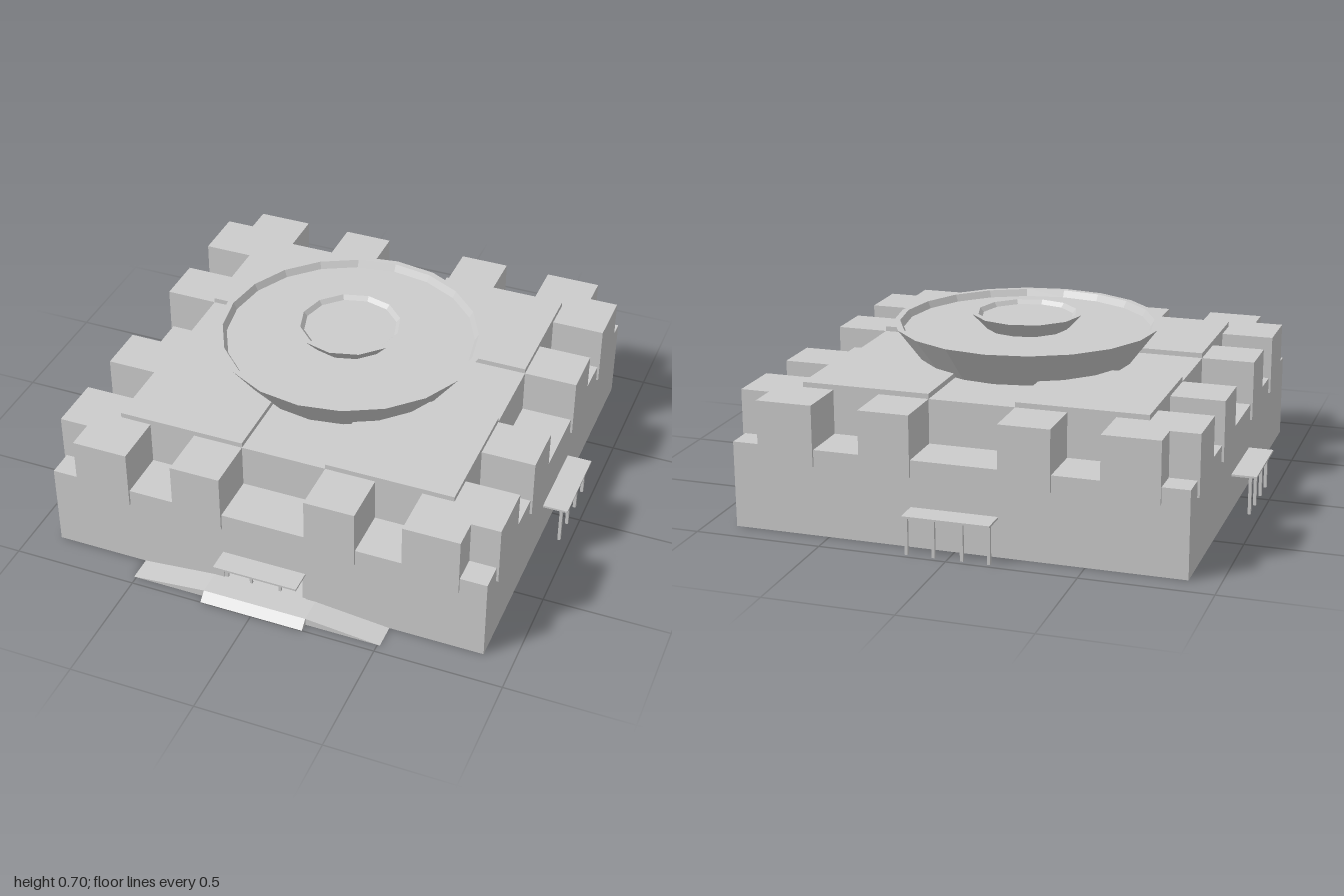
import * as THREE from 'three';

const mat = new THREE.MeshStandardMaterial({ color: 0xcccccc, flatShading: true, side: THREE.DoubleSide });
const H = 0.8825;   // half width of the square building
const CZ = -0.018;  // building centre in z; the entrance steps reach further forward

function add(parent, name, geometry) {
  const mesh = new THREE.Mesh(geometry, mat);
  mesh.name = name;
  parent.add(mesh);
  return mesh;
}

// Box given by its minimum and maximum corners
function box(parent, name, x0, x1, y0, y1, z0, z1) {
  const mesh = add(parent, name, new THREE.BoxGeometry(x1 - x0, y1 - y0, z1 - z0));
  mesh.position.set((x0 + x1) / 2, (y0 + y1) / 2, (z0 + z1) / 2);
  return mesh;
}

function lathe(parent, name, sides, profile) {
  const points = profile.map(([r, y]) => new THREE.Vector2(r, y));
  return add(parent, name, new THREE.LatheGeometry(points, sides));
}

// Prism with its profile in the xy plane, running along z
function prism(parent, name, profile, z0, z1) {
  const shape = new THREE.Shape(profile.map(([x, y]) => new THREE.Vector2(x, y)));
  const geometry = new THREE.ExtrudeGeometry(shape, { depth: z1 - z0, bevelEnabled: false });
  return add(parent, name, geometry.translate(0, 0, z0));
}

export function createModel() {
  const model = new THREE.Group();
  model.name = 'building';
  const core = new THREE.Group();
  core.name = 'core';
  core.position.z = CZ;
  model.add(core);

  // Hollow base: thick roof on thin walls, with a doorway in the front wall
  const T = 0.01, D = 0.17;
  box(core, 'roofDeck', -H, H, 0.25, 0.34, -H, H);
  box(core, 'backWall', -H, H, 0, 0.25, -H, -H + T);
  for (const s of [-1, 1]) {
    const side = box(core, 'sideWall', -T / 2, T / 2, 0, 0.25, -H, H);
    side.position.x = s * (H - T / 2);
    const front = box(core, 'frontWall', D, H, 0, 0.25, H - T, H);
    front.position.x *= s;
  }
  box(core, 'doorLintel', -D, D, 0.155, 0.25, H - T, H);

  // Raised centre with four roof slabs separated by cross channels
  box(core, 'upperBlock', -0.68, 0.68, 0.34, 0.515, -0.68, 0.68);
  for (const sx of [-1, 1]) {
    for (const sz of [-1, 1]) {
      const slab = box(core, 'roofSlab', 0.17, 0.68, 0.515, 0.535, 0.17, 0.68);
      slab.position.x *= sx;
      slab.position.z *= sz;
    }
  }

  // Parapet blocks, the same four on every side
  for (let i = 0; i < 4; i++) {
    const side = new THREE.Group();
    side.name = 'parapetSide';
    side.rotation.y = i * Math.PI / 2;
    core.add(side);
    for (const [a, b] of [[0.17, 0.37], [0.555, 0.777]]) {
      box(side, 'parapetBlock', a, b, 0.275, 0.515, 0.66, H + 0.009);
      box(side, 'parapetBlock', -b, -a, 0.275, 0.515, 0.66, H + 0.009);
    }
  }

  // Large dish on the roof with a small one in its middle
  lathe(core, 'largeDish', 20, [
    [0, 0.515], [0.425, 0.515], [0.535, 0.662], [0.51, 0.662], [0.495, 0.635], [0, 0.635],
  ]);
  lathe(core, 'smallDish', 12, [
    [0.165, 0.635], [0.223, 0.697], [0.2, 0.697], [0.185, 0.68], [0, 0.68],
  ]);

  // Canopies on posts at the left, right and back
  for (const turn of [1, 2, 3]) {
    const canopy = new THREE.Group();
    canopy.name = 'canopy';
    canopy.rotation.y = turn * Math.PI / 2;
    core.add(canopy);
    box(canopy, 'canopyRoof', -D, D, 0.15, 0.158, 0.72, 0.982);
    for (const x of [-0.16, -0.055, 0.055, 0.16]) {
      box(canopy, 'canopyPost', x - 0.006, x + 0.006, 0, 0.15, 0.95, 0.962);
    }
  }

  // Front entrance: recess, canopy and posts
  const entrance = new THREE.Group();
  entrance.name = 'entrance';
  model.add(entrance);
  box(entrance, 'entranceCanopy', -D, D, 0.15, 0.158, 0.665, 0.957);
  box(entrance, 'recessBack', -D, D, 0, 0.2, 0.66, 0.665);
  box(entrance, 'recessTop', -D, D, 0.195, 0.2, 0.66, 0.86);
  box(entrance, 'recessFloor', -D, D, 0.022, 0.029, 0.665, 0.866);
  for (const s of [-1, 1]) {
    const wall = box(entrance, 'recessSide', D - 0.005, D, 0, 0.2, 0.66, 0.86);
    wall.position.x *= s;
  }
  for (const x of [-0.16, -0.06, 0.06, 0.16]) {
    box(entrance, 'entrancePost', x - 0.005, x + 0.005, 0.029, 0.15, 0.85, 0.86);
  }

  // Ramps to both sides of the landing and a sloped step in front
  prism(entrance, 'sideRamps', [[-0.51, 0], [0.51, 0], [0.21, 0.03], [-0.21, 0.03]], 0.864, 0.965);
  const step = prism(entrance, 'frontStep', [[0, 0], [0.035, 0], [0, 0.03]], -0.21, 0.21);
  step.rotation.y = -Math.PI / 2;
  step.position.z = 0.965;

  return model;
}
